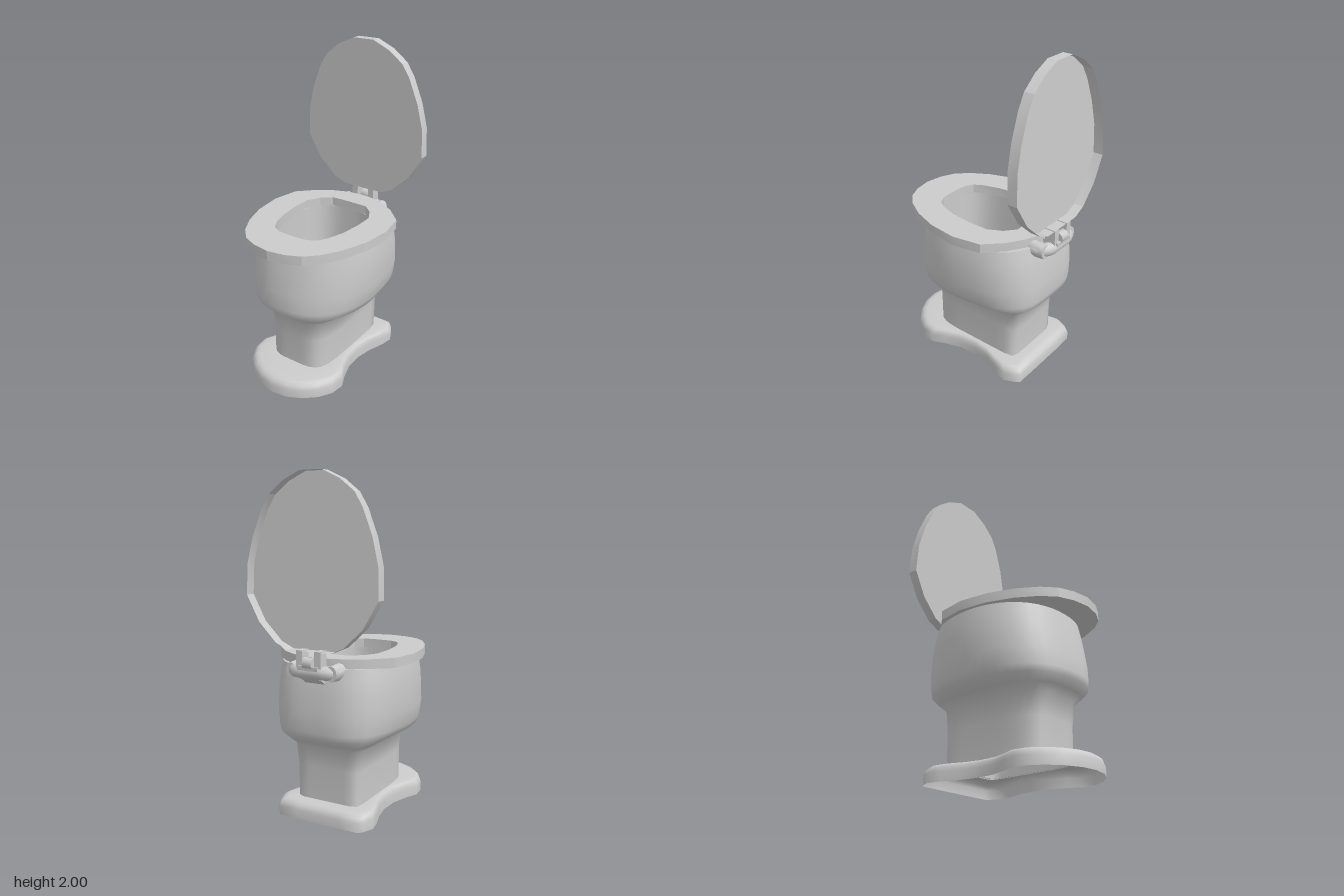
import * as THREE from 'three';
import { toCreasedNormals } from 'three/addons/utils/BufferGeometryUtils.js';

const material = new THREE.MeshStandardMaterial({ color: 0xcccccc, side: THREE.DoubleSide });

function add(parent, name, geometry, crease = 0.6) {
  const mesh = new THREE.Mesh(toCreasedNormals(geometry, crease), material);
  mesh.name = name;
  parent.add(mesh);
  return mesh;
}

// Skin closed rings of [x, y, z] points; a ring of one point closes the end.
function loft(rings) {
  const index = [];
  const n = rings[0].length;
  for (let i = 0; i < rings.length - 1; i++) {
    const tip = rings[i + 1].length === 1;
    for (let j = 0; j < n; j++) {
      const a = i * n + j, b = i * n + (j + 1) % n;
      if (tip) index.push(a, (i + 1) * n, b);
      else index.push(a, a + n, b, b, a + n, b + n);
    }
  }
  const g = new THREE.BufferGeometry();
  g.setAttribute('position', new THREE.Float32BufferAttribute(rings.flat(2), 3));
  g.setIndex(index);
  g.computeVertexNormals();
  return g;
}

// Complete half an outline [u, v >= 0] by mirroring it in v.
const mirror = (half) => [...half, ...half.filter((p) => p[1] > 0).reverse().map(([u, v]) => [u, -v])];

// Rounded cross-section: exponents set how square the hinge end (+x) and the
// nose end (-x) are, taper narrows the hinge end.
function section(y, xMin, xMax, halfZ, hingeN, noseN, taper = 0, count = 48) {
  return Array.from({ length: count }, (_, i) => {
    const t = (i / count) * Math.PI * 2;
    const c = Math.cos(t), s = Math.sin(t);
    const n = c > 0 ? hingeN : noseN;
    const r = (Math.abs(c) ** n + Math.abs(s) ** n) ** (-1 / n);
    const narrow = 1 - taper * Math.max(0, r * c);
    return [(xMin + xMax) / 2 + (xMax - xMin) / 2 * r * c, y, halfZ * r * s * narrow];
  });
}

const toShape = (points) => new THREE.Shape(points.map(([u, v]) => new THREE.Vector2(u, v)));

export function createModel() {
  const model = new THREE.Group();
  model.name = 'toilet';

  // Waisted foot, hollow underneath, its top running just inside the pedestal
  const foot = mirror([
    [0.44, 0], [0.44, 0.14], [0.438, 0.265], [0.41, 0.288], [0.35, 0.315], [0.27, 0.3], [0.17, 0.265],
    [0.06, 0.245], [-0.06, 0.25], [-0.17, 0.285], [-0.25, 0.322], [-0.34, 0.31], [-0.42, 0.262],
    [-0.485, 0.19], [-0.53, 0.1], [-0.545, 0],
  ]);
  const footRing = (y, s) => foot.map(([x, z]) => [-0.05 + (x + 0.05) * s, y, z * s]);
  const footInside = foot.map(([x, z]) => {
    const n = x > 0 ? 14 : 4.5;
    const r = 0.985 * (Math.abs(x / 0.33) ** n + Math.abs(z / 0.207) ** n) ** (-1 / n);
    return [0.006 + x * r, 0.1, z * r];
  });
  add(model, 'foot', loft([
    footRing(0, 1), footRing(0.055, 1), footRing(0.08, 0.98), footRing(0.095, 0.94), footRing(0.1, 0.89),
    footInside,
  ]), 1.2);

  // Pedestal and bowl in one shell, over the rim and down to the basin floor
  add(model, 'bowl', loft([
    section(0.095, -0.325, 0.338, 0.207, 14, 4.5),
    section(0.3, -0.325, 0.34, 0.209, 14, 4.5),
    section(0.43, -0.345, 0.357, 0.225, 10, 4, 0.02),
    section(0.47, -0.39, 0.405, 0.29, 6, 3, 0.06),
    section(0.51, -0.44, 0.458, 0.36, 4, 2.4, 0.1),
    section(0.55, -0.445, 0.468, 0.38, 3.6, 2.3, 0.1),
    section(0.65, -0.435, 0.468, 0.398, 3.4, 2.3, 0.1),
    section(0.78, -0.412, 0.46, 0.4, 3.2, 2.3, 0.1),
    section(0.86, -0.395, 0.448, 0.398, 3, 2.3, 0.1),
    section(0.925, -0.38, 0.435, 0.39, 2.9, 2.3, 0.1),
    section(0.925, -0.316, 0.297, 0.238, 3.2, 3.2),
    section(0.55, -0.316, 0.297, 0.238, 3.2, 3.2),
    [[0, 0.55, 0]],
  ]), 1.2);

  // Faceted seat ring
  const seat = toShape(mirror([
    [0.437, 0], [0.425, 0.1], [0.39, 0.19], [0.33, 0.285], [0.225, 0.388], [0.05, 0.42], [-0.135, 0.398],
    [-0.29, 0.345], [-0.41, 0.275], [-0.485, 0.2], [-0.525, 0.11], [-0.543, 0],
  ]));
  seat.holes.push(toShape(mirror([
    [0.293, 0], [0.29, 0.125], [0.235, 0.19], [0.15, 0.235], [0.02, 0.237], [-0.12, 0.22],
    [-0.22, 0.19], [-0.28, 0.155], [-0.31, 0.1], [-0.316, 0],
  ])));
  const seatGeometry = new THREE.ExtrudeGeometry(seat, { depth: 0.057, bevelEnabled: false });
  add(model, 'seat', seatGeometry.rotateX(Math.PI / 2).translate(0, 0.98, 0), 0.3);

  // Raised lid: a shallow tray leaning forward, open at the back
  const lid = mirror([
    [1.025, 0.14], [1.06, 0.22], [1.17, 0.335], [1.32, 0.422], [1.5, 0.417], [1.65, 0.38],
    [1.8, 0.32], [1.88, 0.27], [1.95, 0.18], [2, 0.07],
  ]);
  const lean = (y) => 0.452 - (y - 1.025) * 0.038;
  add(model, 'lid', loft([
    lid.map(([y, z]) => [lean(y) + 0.062, y, z]),
    lid.map(([y, z]) => [lean(y), y, z]),
    [[lean(1.5), 1.5, 0]],
  ]), 0.3);

  // Hinge: curved yoke on a bracket, ears, lid tabs and centre knuckle
  const hinge = new THREE.Group();
  hinge.name = 'hinge';
  model.add(hinge);
  const bracket = toShape([
    [0.4, 0.82], [0.45, 0.835], [0.475, 0.855], [0.515, 0.875], [0.53, 0.905], [0.53, 0.945], [0.43, 0.945], [0.4, 0.93],
  ]);
  const bracketGeometry = new THREE.ExtrudeGeometry(bracket, { depth: 0.13, bevelEnabled: false });
  add(hinge, 'bracket', bracketGeometry.translate(0, 0, -0.065), 0.7);
  const yoke = new THREE.CatmullRomCurve3(
    [[0.4, -0.135], [0.455, -0.13], [0.487, -0.09], [0.492, 0], [0.487, 0.09], [0.455, 0.13], [0.4, 0.135]]
      .map(([x, z]) => new THREE.Vector3(x, 0.908, z)));
  add(hinge, 'yoke', new THREE.TubeGeometry(yoke, 24, 0.04, 10), 0.8);
  for (const side of [-1, 1]) {
    const ear = new THREE.CylinderGeometry(0.85, 1, 0.1, 12).rotateZ(-Math.PI / 2).scale(1, 0.052, 0.04);
    add(hinge, 'ear', ear.translate(0.445, 0.908, side * 0.132), 0.8);
    const tab = new THREE.BoxGeometry(0.065, 0.1, 0.04);
    add(hinge, 'lidTab', tab.translate(0.487, 0.98, side * 0.06));
  }
  const knuckle = new THREE.CylinderGeometry(0.034, 0.034, 0.06, 10).rotateX(Math.PI / 2);
  add(hinge, 'knuckle', knuckle.translate(0.508, 0.96, 0), 0.7);

  return model;
}
